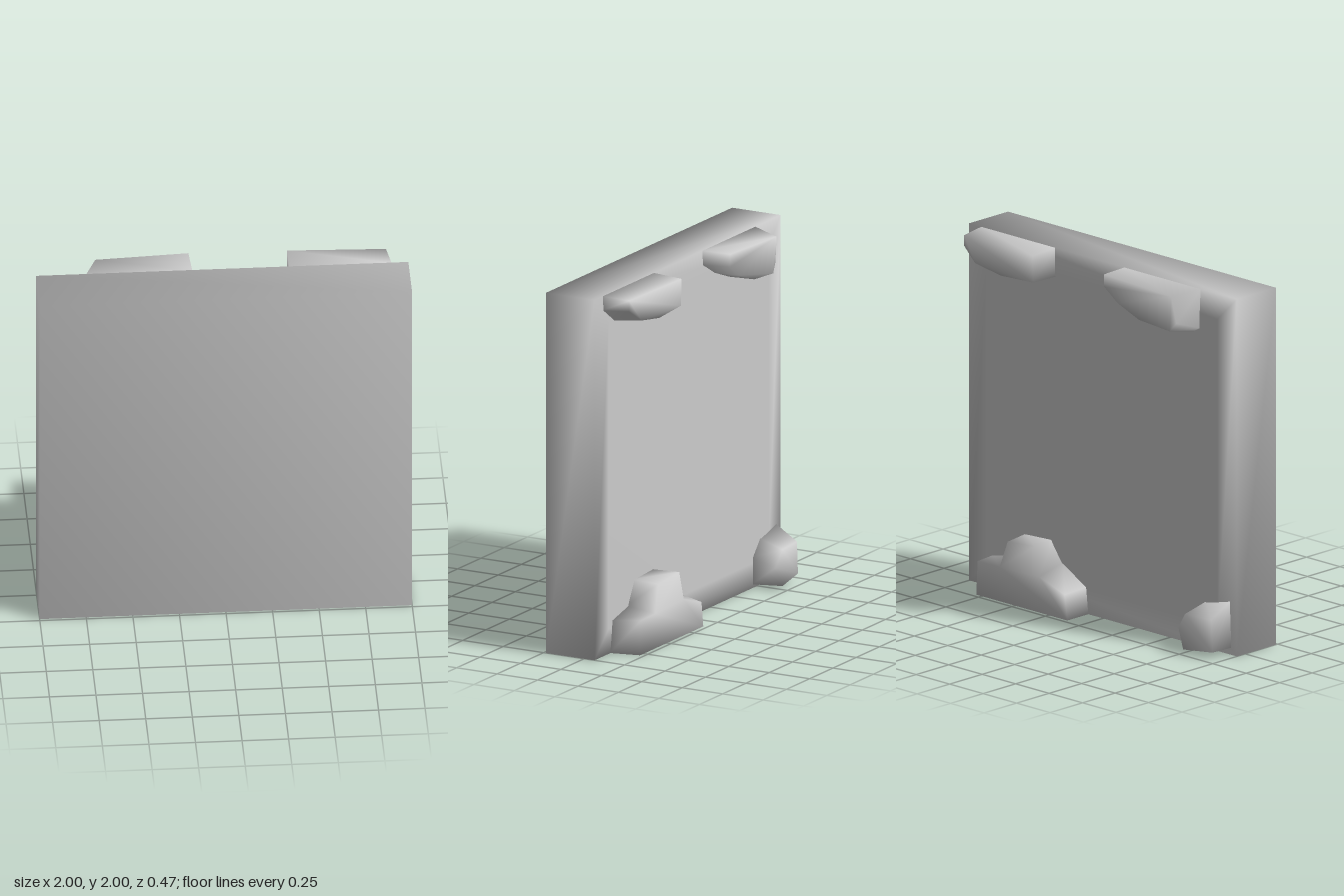
import * as THREE from 'three';

const material = new THREE.MeshStandardMaterial({ color: 0xcccccc });

// Skins a stack of outlines [x, y, z] (counter-clockwise in xy, running from front to back).
// Vertices are shared so the shading is soft.
function loft(name, rings) {
  const n = rings[0].length;
  const index = [];
  const cap = (r, flip) => {
    const outline = rings[r].map(([x, y]) => new THREE.Vector2(x, y));
    for (const [a, b, c] of THREE.ShapeUtils.triangulateShape(outline, [])) {
      const o = r * n;
      if (flip) index.push(o + a, o + c, o + b);
      else index.push(o + a, o + b, o + c);
    }
  };
  cap(0, false);
  for (let r = 0; r + 1 < rings.length; r++) {
    for (let i = 0; i < n; i++) {
      const j = (i + 1) % n;
      const a = r * n + i, b = r * n + j;
      index.push(a, a + n, b + n, a, b + n, b);
    }
  }
  cap(rings.length - 1, true);
  const geometry = new THREE.BufferGeometry();
  geometry.setAttribute('position', new THREE.Float32BufferAttribute(rings.flat(2), 3));
  geometry.setIndex(index);
  geometry.computeVertexNormals();
  const mesh = new THREE.Mesh(geometry, material);
  mesh.name = name;
  return mesh;
}

// Square outline of half-size h at depth z
const square = (h, z) => [[-h, 1 - h, z], [h, 1 - h, z], [h, 1 + h, z], [-h, 1 + h, z]];

// Rock lump: base outline on the slab's back, and a smaller outer outline
const lump = (name, base, outer) =>
  loft(name, [base.map(([x, y]) => [x, y, -0.06]), outer]);

export function createModel() {
  const model = new THREE.Group();

  // Square slab with a barely raised back panel
  model.add(loft('slab', [square(1, 0.235), square(1, -0.064), square(0.86, -0.07)]));

  // Upper lump on the left, flush with the top edge
  model.add(lump('upperLeftLump',
    [[0.35, 1.84], [0.6, 1.81], [0.8, 1.84], [0.91, 1.92], [0.91, 2], [0.36, 2]],
    [[0.36, 1.84, -0.23], [0.6, 1.83, -0.235], [0.79, 1.86, -0.235], [0.89, 1.93, -0.215],
      [0.89, 1.99, -0.215], [0.36, 1.99, -0.235]]));

  // Upper lump on the right, deepening towards the side
  model.add(lump('upperRightLump',
    [[-0.73, 2], [-0.73, 1.78], [-0.68, 1.75], [-0.44, 1.79], [-0.28, 1.85], [-0.16, 1.92], [-0.16, 2]],
    [[-0.67, 1.98, -0.23], [-0.69, 1.83, -0.21], [-0.65, 1.78, -0.22], [-0.43, 1.8, -0.23],
      [-0.27, 1.86, -0.23], [-0.17, 1.93, -0.23], [-0.17, 2, -0.23]]));

  // Stepped lower lump on the left
  model.add(lump('lowerLeftLump',
    [[0.11, 0], [0.83, 0], [0.82, 0.18], [0.65, 0.22], [0.58, 0.35], [0.38, 0.36], [0.3, 0.25], [0.12, 0.15]],
    [[0.11, 0, -0.225], [0.79, 0, -0.225], [0.78, 0.19, -0.225], [0.62, 0.19, -0.22], [0.57, 0.34, -0.21],
      [0.36, 0.36, -0.22], [0.32, 0.2, -0.225], [0.13, 0.14, -0.225]]));

  // Small lower lump on the right
  model.add(lump('lowerRightLump',
    [[-0.96, 0.04], [-0.7, 0.02], [-0.69, 0.17], [-0.77, 0.26], [-0.95, 0.3]],
    [[-0.95, 0.04, -0.2], [-0.75, 0.02, -0.22], [-0.7, 0.13, -0.205], [-0.76, 0.22, -0.215],
      [-0.94, 0.22, -0.2]]));

  return model;
}
